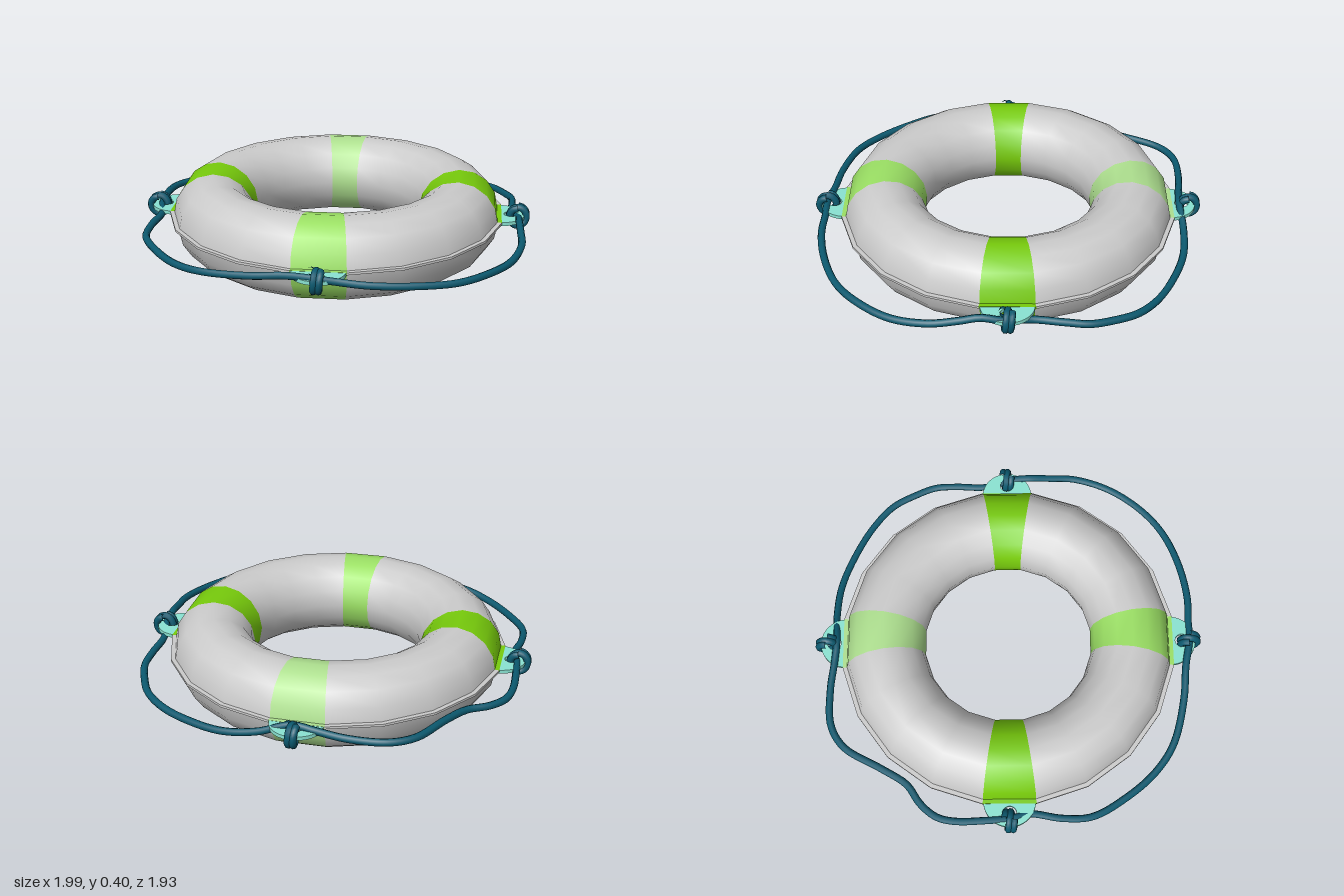
import * as THREE from 'three';

const STEP = Math.PI / 10;          // the ring has 20 sides
const TURN = 0.013;                 // slight twist of the whole ring
const ROPE_R = 0.018;
const MID_Y = 0.2;

const paint = (color, extra = {}) => new THREE.MeshStandardMaterial({ color, ...extra });

function addMesh(parent, name, geometry, material) {
  const mesh = new THREE.Mesh(geometry, material);
  mesh.name = name;
  parent.add(mesh);
  return mesh;
}

// Tube section, and the thin seam around its outer edge
const tubeProfile = [];
for (let i = 0; i <= 16; i++) {
  const a = (i / 16) * Math.PI * 2;
  tubeProfile.push(new THREE.Vector2(0.617 + 0.2 * Math.cos(a), MID_Y + 0.2 * Math.sin(a)));
}
const seamProfile = [[0.8, 0.198], [0.837, 0.198], [0.837, 0.21], [0.8, 0.21]]
  .map(([x, y]) => new THREE.Vector2(x, y));

// Arc of the ring; steps are counted clockwise from the back, seen from above
function addArc(parent, name, first, count, color) {
  const start = Math.PI - (first + count) * STEP - TURN;
  const arc = new THREE.Group();
  arc.name = name;
  addMesh(arc, name + 'Tube',
    new THREE.LatheGeometry(tubeProfile, count, start, count * STEP), paint(color));
  addMesh(arc, name + 'Seam',
    new THREE.LatheGeometry(seamProfile, count, start, count * STEP),
    paint(color, { flatShading: true, side: THREE.DoubleSide }));
  parent.add(arc);
}

// Half-round plate with a hole, pointing to +z
function tabGeometry() {
  const shape = new THREE.Shape();
  shape.moveTo(0.127, -0.03);
  shape.lineTo(0.127, 0);
  shape.absarc(0, 0, 0.127, 0, Math.PI, false);
  shape.lineTo(-0.127, -0.03);
  shape.closePath();
  const hole = new THREE.Path();
  hole.absarc(0, 0.06, 0.034, 0, Math.PI * 2, true);
  shape.holes.push(hole);
  const g = new THREE.ExtrudeGeometry(shape, { depth: 0.018, bevelEnabled: false, curveSegments: 12 });
  g.rotateX(Math.PI / 2);
  g.translate(0, MID_Y + 0.009, 0.813);
  return g;
}

// Two turns of rope through the hole and round the edge of the tab
function knotGeometry() {
  const points = [];
  for (let i = 0; i <= 24; i++) {
    const t = i / 24;
    const a = t * Math.PI * 4 + Math.PI / 2;
    points.push(new THREE.Vector3(
      -0.022 + 0.044 * t,
      MID_Y + 0.046 * Math.sin(a),
      0.908 + 0.042 * Math.cos(a)));
  }
  return new THREE.TubeGeometry(new THREE.CatmullRomCurve3(points), 60, ROPE_R, 8, false);
}

// Rope path around the ring, from the back left tab clockwise: x, y, z
const ropePath = [
  [-0.4, 0.22, -0.79], [-0.26, 0.17, -0.87], [-0.1, 0.14, -0.93], [0.1, 0.13, -0.95],
  [0.27, 0.13, -0.94], [0.41, 0.14, -0.9], [0.52, 0.15, -0.82], [0.6, 0.16, -0.74],
  [0.65, 0.17, -0.64], [0.71, 0.18, -0.5],
  [0.8, 0.2, -0.39], [0.84, 0.215, -0.31], [0.89, 0.2, -0.22], [0.95, 0.185, -0.1],
  [0.98, 0.17, 0.08], [0.95, 0.17, 0.27], [0.88, 0.17, 0.43], [0.75, 0.18, 0.58],
  [0.59, 0.19, 0.7], [0.46, 0.2, 0.76],
  [0.38, 0.21, 0.8], [0.24, 0.21, 0.84], [0.08, 0.195, 0.9], [-0.15, 0.18, 0.945],
  [-0.32, 0.17, 0.92], [-0.5, 0.17, 0.84], [-0.65, 0.175, 0.735], [-0.72, 0.18, 0.61],
  [-0.77, 0.19, 0.46],
  [-0.83, 0.2, 0.39], [-0.89, 0.2, 0.29], [-0.96, 0.19, 0.15], [-0.979, 0.185, 0.06],
  [-0.955, 0.185, -0.04], [-0.9, 0.19, -0.14], [-0.885, 0.2, -0.29], [-0.87, 0.2, -0.5],
  [-0.8, 0.2, -0.61], [-0.64, 0.2, -0.7], [-0.5, 0.21, -0.75],
].map((p) => new THREE.Vector3(...p));

export function createModel() {
  const model = new THREE.Group();
  model.name = 'lifebuoy';

  const ring = new THREE.Group();
  ring.name = 'ring';
  ring.position.set(-0.03, 0, -0.014);
  model.add(ring);

  const ropeMaterial = paint(0x0c5a70);
  const tabMaterial = paint(0x8ae3d2);
  const bandColors = [0x78cc0c, 0x9be064, 0x78cc0c, 0xaee08f];
  const tab = tabGeometry();
  const knot = knotGeometry();

  // Each quarter: a coloured band, a grey arc, and a tab with its knot
  bandColors.forEach((color, i) => {
    const first = 3 + i * 5;
    addArc(ring, 'band', first, 1, color);
    addArc(ring, 'float', first + 1, 4, 0xcccccc);
    const fixing = new THREE.Group();
    fixing.name = 'ropeFixing';
    fixing.rotation.y = Math.PI - (first + 0.5) * STEP - TURN;
    addMesh(fixing, 'tab', tab, tabMaterial);
    addMesh(fixing, 'knot', knot, ropeMaterial);
    ring.add(fixing);
  });

  // Grab rope
  const curve = new THREE.CatmullRomCurve3(ropePath, true);
  addMesh(model, 'grabRope', new THREE.TubeGeometry(curve, 200, ROPE_R, 8, true), ropeMaterial);

  return model;
}
